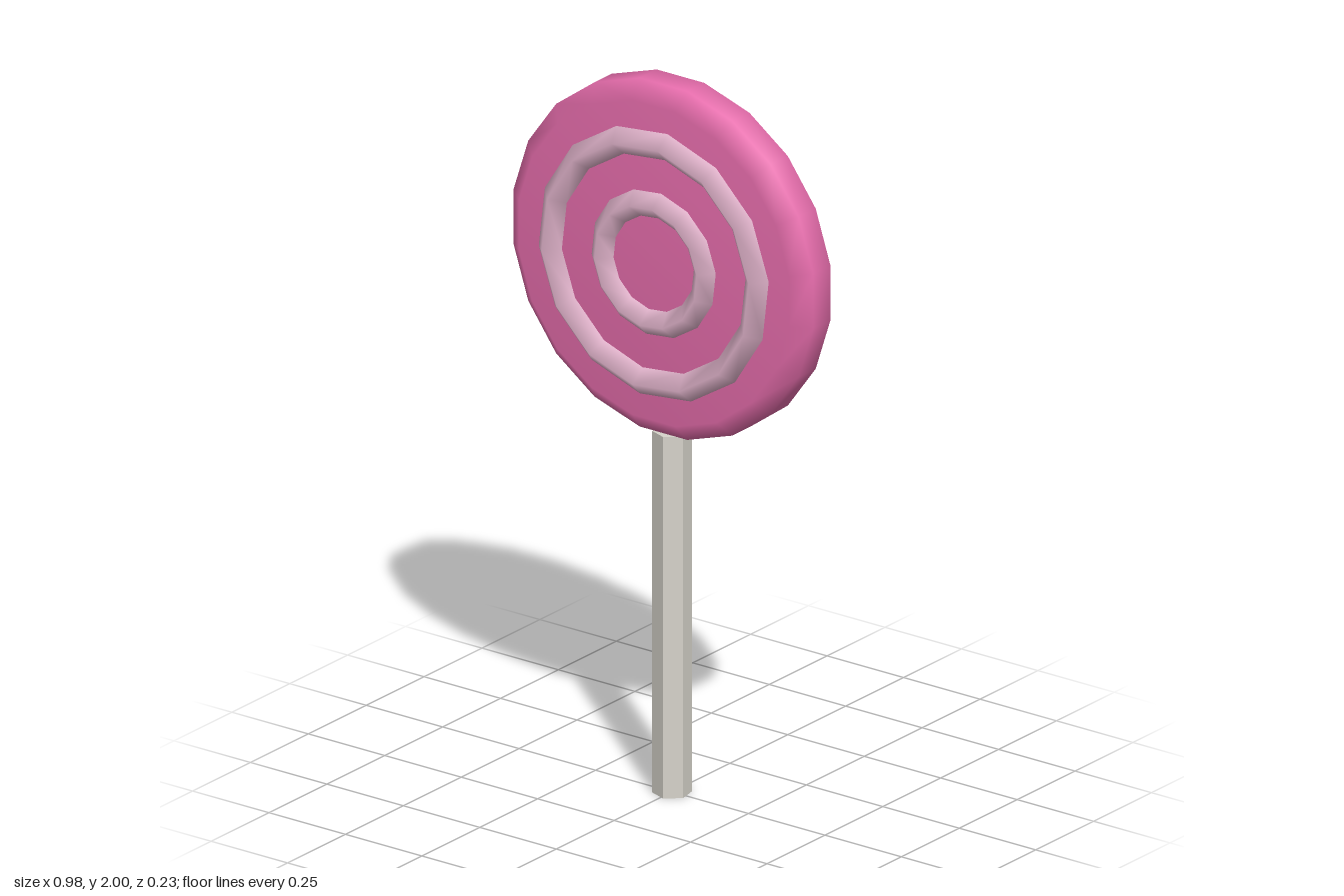
import * as THREE from 'three';

const CENTER_Y = 1.51;
const rad = THREE.MathUtils.degToRad;

export function createModel() {
  const candyPink = new THREE.MeshStandardMaterial({ color: 0xe56cab });
  candyPink.name = 'candyPink';
  const palePink = new THREE.MeshStandardMaterial({ color: 0xe3b5cd });
  palePink.name = 'palePink';
  const stickWhite = new THREE.MeshStandardMaterial({ color: 0xd6d3ca, flatShading: true });
  stickWhite.name = 'stickWhite';

  const model = new THREE.Group();
  model.name = 'lollipop';

  const add = (name, geometry, material, y, z = 0) => {
    const mesh = new THREE.Mesh(geometry, material);
    mesh.name = name;
    mesh.position.set(0, y, z);
    model.add(mesh);
  };

  // Candy disc: 20-sided, bevelled rim, smooth normals across the faces
  const profile = [
    [0, -0.078], [0.447, -0.078], [0.496, -0.037],
    [0.496, 0.037], [0.447, 0.078], [0, 0.078],
  ].map(([r, h]) => new THREE.Vector2(r, h));
  const disc = new THREE.LatheGeometry(profile, 20, rad(9));
  disc.rotateX(Math.PI / 2);
  add('candyDisc', disc, candyPink, CENTER_Y);

  // Raised rings on both faces, with a diamond section
  for (const [side, z] of [['front', 0.079], ['back', -0.079]]) {
    for (const [size, radius, tube] of [['Outer', 0.34, 0.038], ['Inner', 0.168, 0.036]]) {
      const ring = new THREE.TorusGeometry(radius, tube, 4, 14);
      ring.rotateZ(rad(6));
      add(`${side}${size}Ring`, ring, palePink, CENTER_Y, z);
    }
  }

  // Six-sided stick
  const height = 1.016;
  const stick = new THREE.CylinderGeometry(0.052, 0.052, height, 6, 1, false, rad(11));
  add('stick', stick, stickWhite, height / 2);

  return model;
}
